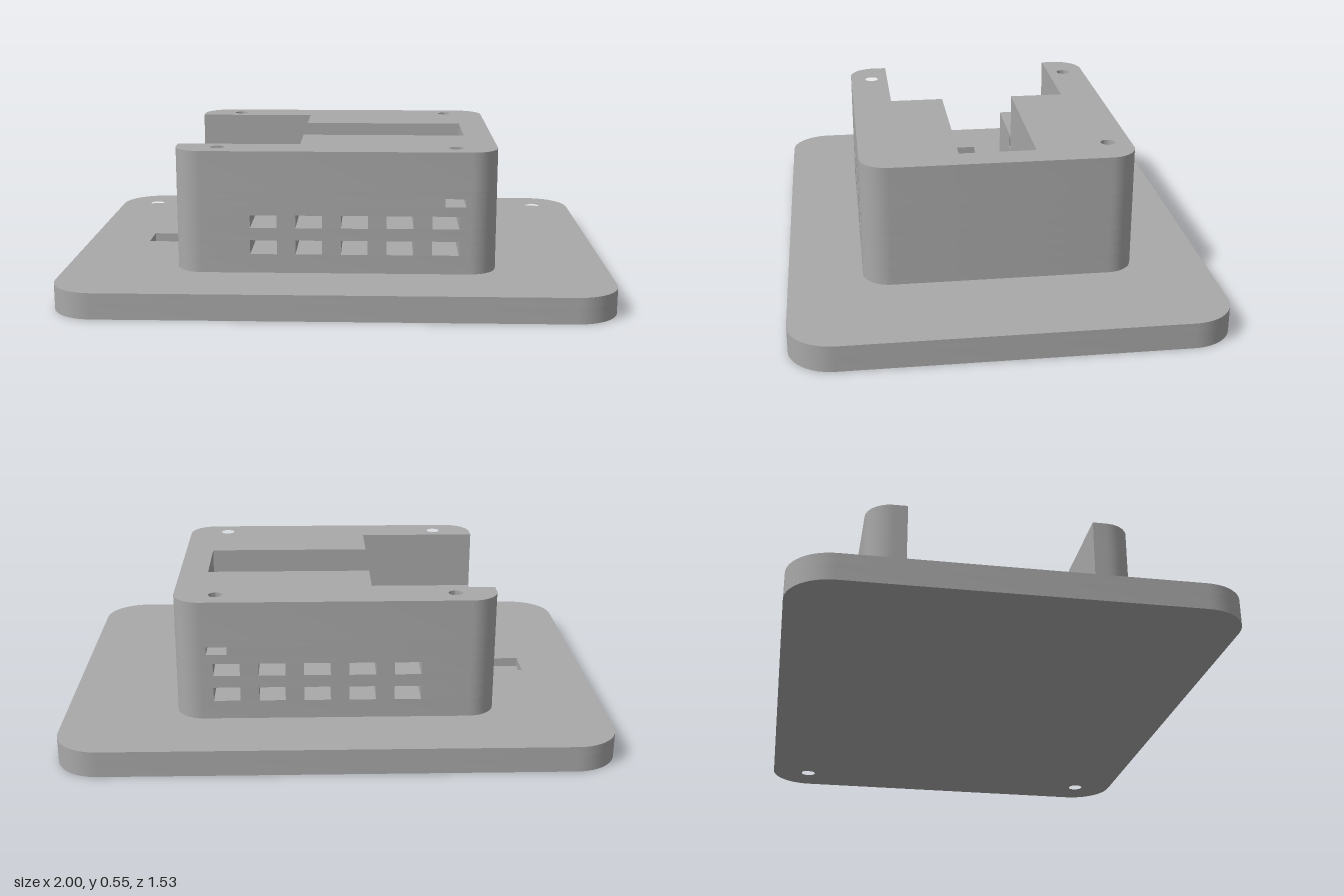
import * as THREE from 'three';
import { toCreasedNormals } from 'three/addons/utils/BufferGeometryUtils.js';

const BX = 0.5875, BZ = 0.495, R = 0.1;   // housing half sizes and corner radius
const STEP = -0.135, CHANNEL = 0.14;      // end of the wide pocket, half width of the narrow channel

export function createModel() {
  const group = new THREE.Group();
  const grey = new THREE.MeshStandardMaterial({ color: 0xa9a9a9 });
  grey.name = 'grey';

  // Extrude a plan outline of [x, z] points from y0 to y1, with round holes [x, z, r]
  function slab(name, points, y0, y1, holes = [], cutouts = []) {
    const toShape = (p) => new THREE.Vector2(p[0], -p[1]);
    const shape = new THREE.Shape(points.map(toShape));
    for (const [x, z, r] of holes) {
      shape.holes.push(new THREE.Path().absarc(x, -z, r, 0, Math.PI * 2, true));
    }
    for (const c of cutouts) shape.holes.push(new THREE.Path(c.map(toShape)));
    const geo = new THREE.ExtrudeGeometry(shape, { depth: y1 - y0, bevelEnabled: false, curveSegments: 16 });
    geo.rotateX(-Math.PI / 2);
    geo.translate(0, y0, 0);
    const mesh = new THREE.Mesh(toCreasedNormals(geo, 0.6), grey);
    mesh.name = name;
    group.add(mesh);
  }

  // Points of a quarter-round corner
  function corner(cx, cz, r, start) {
    const pts = [];
    for (let i = 0; i <= 12; i++) {
      const a = start + (i / 12) * Math.PI / 2;
      pts.push([cx + r * Math.cos(a), cz + r * Math.sin(a)]);
    }
    return pts;
  }

  // Base plate with four through holes and a shallow keyed recess
  const plate = [
    ...corner(0.84, 0.605, 0.16, 0),
    ...corner(-0.84, 0.605, 0.16, Math.PI / 2),
    ...corner(-0.84, -0.605, 0.16, Math.PI),
    ...corner(0.84, -0.605, 0.16, Math.PI * 1.5),
  ];
  const plateHoles = [];
  for (const x of [-0.85, 0.85]) for (const z of [-0.613, 0.613]) plateHoles.push([x, z, 0.029]);
  const side = [[-0.76, 0.063], [-0.625, 0.063], [-0.625, 0.16], [STEP, 0.16], [STEP, CHANNEL], [0.38, CHANNEL]];
  const recess = [...side, ...side.map(([x, z]) => [x, -z]).reverse()];
  slab('basePlateBottom', plate, 0, 0.06, plateHoles);
  slab('basePlateTop', plate, 0.06, 0.095, plateHoles, [recess]);

  // Half-plan of the housing between x0 and x1: w is the pocket half width, end the channel end
  function halfPlan(x0, x1, w, end) {
    const inner = (x) => (x < STEP ? w : x < end ? CHANNEL : 0);
    const pts = [[x0, inner(x0)]];
    if (x0 < STEP && STEP < x1) pts.push([STEP, w], [STEP, CHANNEL]);
    if (x0 < end && end < x1) pts.push([end, CHANNEL], [end, 0]);
    pts.push([x1, inner(x1 - 1e-4)]);
    if (x1 === BX) pts.push(...corner(BX - R, BZ - R, R, 0));
    else pts.push([x1, BZ]);
    if (x0 === -BX) pts.push(...corner(-BX + R, BZ - R, R, Math.PI / 2));
    else pts.push([x0, BZ]);
    return pts;
  }

  // Solid stretches left between the five vents
  const full = [[-BX, BX]];
  const vented = [];
  let from = -BX;
  for (let i = 0; i < 5; i++) {
    const x = -0.31 + i * 0.165;
    vented.push([from, x]);
    from = x + 0.097;
  }
  vented.push([from, BX]);

  const shelfHoles = [[-0.45, 0.263, 0.027], [-0.338, 0.263, 0.026]];
  const ledgeHoles = [[0.43, 0.06, 0.021]];
  const topHoles = [[-0.435, 0.41, 0.026], [0.435, 0.41, 0.026]];

  // Housing as stacked layers: name, y0, y1, pocket half width, channel end, stretches, holes
  const layers = [
    ['housingFoot', 0.095, 0.165, 0.16, 0.38, full, []],
    ['lowerVentPosts', 0.165, 0.217, 0.16, 0.38, vented, []],
    ['ventRail', 0.217, 0.263, 0.16, 0.38, full, shelfHoles],
    ['upperVentPosts', 0.263, 0.31, 0.16, 0.38, vented, shelfHoles],
    ['pocketShelf', 0.31, 0.32, 0.16, 0.38, full, shelfHoles],
    ['pocketWall', 0.32, 0.345, 0.345, 0.38, full, []],
    ['slotLayer', 0.345, 0.375, 0.345, 0.38, [[-BX, 0.395], [0.47, BX]], []],
    ['channelLedge', 0.375, 0.4, 0.345, 0.38, full, ledgeHoles],
    ['housingRim', 0.4, 0.545, 0.345, 0.48, full, topHoles],
  ];
  for (const [name, y0, y1, w, end, stretches, holes] of layers) {
    for (const s of [1, -1]) {
      for (const [x0, x1] of stretches) {
        const outline = halfPlan(x0, x1, w, end).map(([x, z]) => [x, z * s]);
        const mine = holes.filter(([x]) => x > x0 && x < x1).map(([x, z, r]) => [x, z * s, r]);
        slab(name, outline, y0, y1, mine);
      }
    }
  }

  // Web closing the two side slots in the middle
  slab('slotWeb', [[0.395, 0.03], [0.47, 0.03], [0.47, -0.03], [0.395, -0.03]], 0.345, 0.375);

  return group;
}
